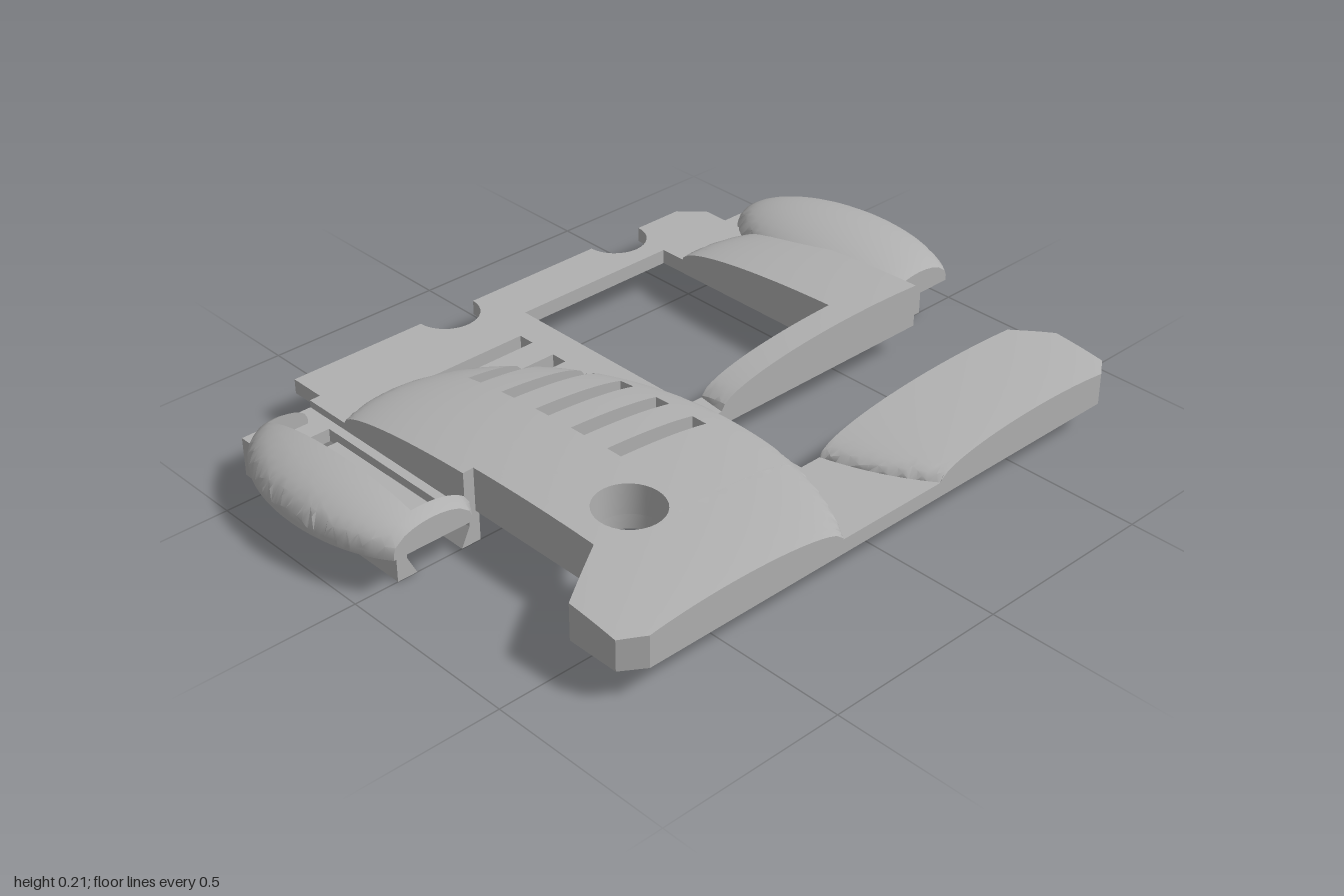
import * as THREE from 'three';
import { toCreasedNormals } from 'three/addons/utils/BufferGeometryUtils.js';

const STEP = 0.028;
const shellGrey = new THREE.MeshStandardMaterial({ color: 0xb0b0b0 });
shellGrey.name = 'shellGrey';

const rect = (x0, x1, z0, z1) => [[x0, z0], [x1, z0], [x1, z1], [x0, z1]];

// points along a circle arc in the ground plane
function arc(cx, cz, r, from, to, n) {
  return Array.from({ length: n + 1 }, (_, i) => {
    const a = from + (to - from) * i / n;
    return [cx + r * Math.cos(a), cz + r * Math.sin(a)];
  });
}

// ellipsoid dome: inside() is positive within its rim, height() is the surface
function dome(cx, cy, cz, rx, ry, rz) {
  const inside = ([x, z]) => 1 - ((x - cx) / rx) ** 2 - ((z - cz) / rz) ** 2;
  return { inside, height: p => cy + ry * Math.sqrt(Math.max(0, inside(p))) };
}

// split the longest edge until every edge is short
function refine(tri, out) {
  let k = 0, longest = 0;
  for (let i = 0; i < 3; i++) {
    const a = tri[i], b = tri[(i + 1) % 3];
    const d = Math.hypot(a[0] - b[0], a[1] - b[1]);
    if (d > longest + 1e-9) { longest = d; k = i; }
  }
  if (longest <= STEP) { out.push(tri); return; }
  const a = tri[k], b = tri[(k + 1) % 3], c = tri[(k + 2) % 3];
  const m = [(a[0] + b[0]) / 2, (a[1] + b[1]) / 2];
  refine([a, m, c], out);
  refine([m, b, c], out);
}

// point where an edge crosses the dome rim
function crossing(a, b, inside) {
  let lo = 0, hi = 1;
  const at = t => [a[0] + (b[0] - a[0]) * t, a[1] + (b[1] - a[1]) * t];
  const sa = inside(a) > 0;
  for (let i = 0; i < 30; i++) {
    const t = (lo + hi) / 2;
    if ((inside(at(t)) > 0) === sa) lo = t; else hi = t;
  }
  return at((lo + hi) / 2);
}

function clip(tri, inside) {
  const poly = [];
  tri.forEach((a, i) => {
    const b = tri[(i + 1) % 3];
    const ia = inside(a) > 0, ib = inside(b) > 0;
    if (ia) poly.push(a);
    if (ia !== ib) poly.push(crossing(a, b, inside));
  });
  return poly.length < 3 ? [] : poly.slice(2).map((p, i) => [poly[0], poly[i + 1], p]);
}

// solid over an outline with holes, from y0 up to a flat or domed top
function slab(outline, holes, y0, top) {
  const domed = typeof top !== 'number';
  const height = domed ? top.height : () => top;
  const v2 = list => list.map(([x, z]) => new THREE.Vector2(x, z));
  const all = [outline, ...holes].flat();
  let tris = [];
  for (const f of THREE.ShapeUtils.triangulateShape(v2(outline), holes.map(v2))) {
    const [a, b, c] = f.map(i => all[i]);
    const up = (b[1] - a[1]) * (c[0] - a[0]) - (b[0] - a[0]) * (c[1] - a[1]);
    const tri = up > 0 ? [a, b, c] : [a, c, b];
    if (domed) refine(tri, tris); else tris.push(tri);
  }
  if (domed) tris = tris.flatMap(t => clip(t, top.inside));

  const pos = [], edges = new Map();
  const key = p => Math.round(p[0] * 1e5) + ',' + Math.round(p[1] * 1e5);
  const put = (p, y) => pos.push(p[0], y, p[1]);
  for (const t of tris) {
    t.forEach(p => put(p, height(p)));
    [t[0], t[2], t[1]].forEach(p => put(p, y0));
    t.forEach((a, i) => {
      const b = t[(i + 1) % 3], back = key(b) + '|' + key(a);
      if (edges.has(back)) edges.delete(back);
      else edges.set(key(a) + '|' + key(b), [a, b]);
    });
  }
  // walls along every open edge
  for (const [a, b] of edges.values()) {
    const ha = height(a), hb = height(b);
    if (Math.max(ha, hb) - y0 < 1e-4) continue;
    put(a, y0); put(b, y0); put(b, hb);
    put(a, y0); put(b, hb); put(a, ha);
  }
  const g = new THREE.BufferGeometry();
  g.setAttribute('position', new THREE.Float32BufferAttribute(pos, 3));
  return toCreasedNormals(g, 0.5);
}

export function createModel() {
  const model = new THREE.Group();
  model.name = 'coverPlate';
  const add = (name, geometry) => {
    const mesh = new THREE.Mesh(geometry, shellGrey);
    mesh.name = name;
    model.add(mesh);
    return mesh;
  };

  // plate outline with two round notches at the back and a front leg
  const outline = [
    [-0.65, -0.7], ...arc(-0.17, -0.7, 0.086, Math.PI, 0, 16),
    ...arc(0.415, -0.7, 0.086, Math.PI, 0, 16), [0.645, -0.7], [0.705, -0.64],
    [0.705, 0.13], [-0.025, 0.13], [-0.025, 0.43], [0.71, 0.43],
    [0.805, 0.51], [0.805, 0.655], [0.75, 0.695], [-0.75, 0.695],
    [-0.81, 0.655], [-0.81, 0.51], [-0.65, 0.41], [-0.65, 0],
    [-0.68, 0], [-0.68, -0.595], [-0.65, -0.595],
  ];
  // window, round hole and six vent slots
  const holes = [
    rect(-0.025, 0.465, -0.56, 0.05),
    arc(-0.5, 0.36, 0.088, 0, Math.PI * 2, 32).slice(0, -1),
  ];
  for (let i = 0; i < 6; i++) {
    const z = -0.478 + i * 0.1262;
    holes.push(rect(-0.38, -0.11, z, z + 0.047));
  }
  add('basePlate', slab(outline, holes, 0.085, 0.125));

  // two shallow domes trimmed by the plate outline
  for (const [side, name] of [[-1, 'rightDome'], [1, 'leftDome']]) {
    add(name, slab(outline, holes, 0.124, dome(side * 0.52, 0.125, 0.2, 0.512, 0.085, 0.69)));
  }

  // side pods; the right one is hollowed for the latch
  const podDome = side => dome(side * 0.81, 0.12, -0.23, 0.19, 0.086, 0.345);
  add('leftPod', slab(rect(0.6, 1.02, -0.6, 0.05), [], 0.105, podDome(1)));
  add('rightPod', slab([
    [-1.02, -0.6], [-0.6, -0.6], [-0.6, -0.54], [-0.838, -0.54],
    [-0.838, 0.01], [-0.6, 0.01], [-0.6, 0.05], [-1.02, 0.05],
  ], [], 0.105, podDome(-1)));

  // dovetail rails under the pods
  const latchSlot = [
    [-0.82, -0.485], [-0.705, -0.485], [-0.705, -0.055], [-0.725, -0.055],
    [-0.725, -0.425], [-0.8, -0.425], [-0.8, -0.055], [-0.82, -0.055],
  ];
  add('leftRailRoof', slab(rect(0.64, 0.88, -0.595, 0), [], 0.07, 0.105));
  add('rightRailRoof', slab(rect(-0.88, -0.64, -0.595, 0), [latchSlot], 0.07, 0.105));

  const footProfile = [[0.065, 0], [0.12, 0], [0.12, 0.072], [0.09, 0.072], [0.09, 0.05]];
  for (const side of [-1, 1]) {
    for (const flip of [-1, 1]) {
      const shape = new THREE.Shape(footProfile.map(([x, y]) => new THREE.Vector2(x * flip, y)));
      const g = new THREE.ExtrudeGeometry(shape, { depth: 0.595, bevelEnabled: false });
      add(side > 0 ? 'leftRailFoot' : 'rightRailFoot', g).position.set(side * 0.76, 0, -0.595);
    }
  }

  // catch at the tip of the spring latch
  add('latchCatch', new THREE.BoxGeometry(0.075, 0.022, 0.06)).position.set(-0.7625, 0.061, -0.395);

  return model;
}
